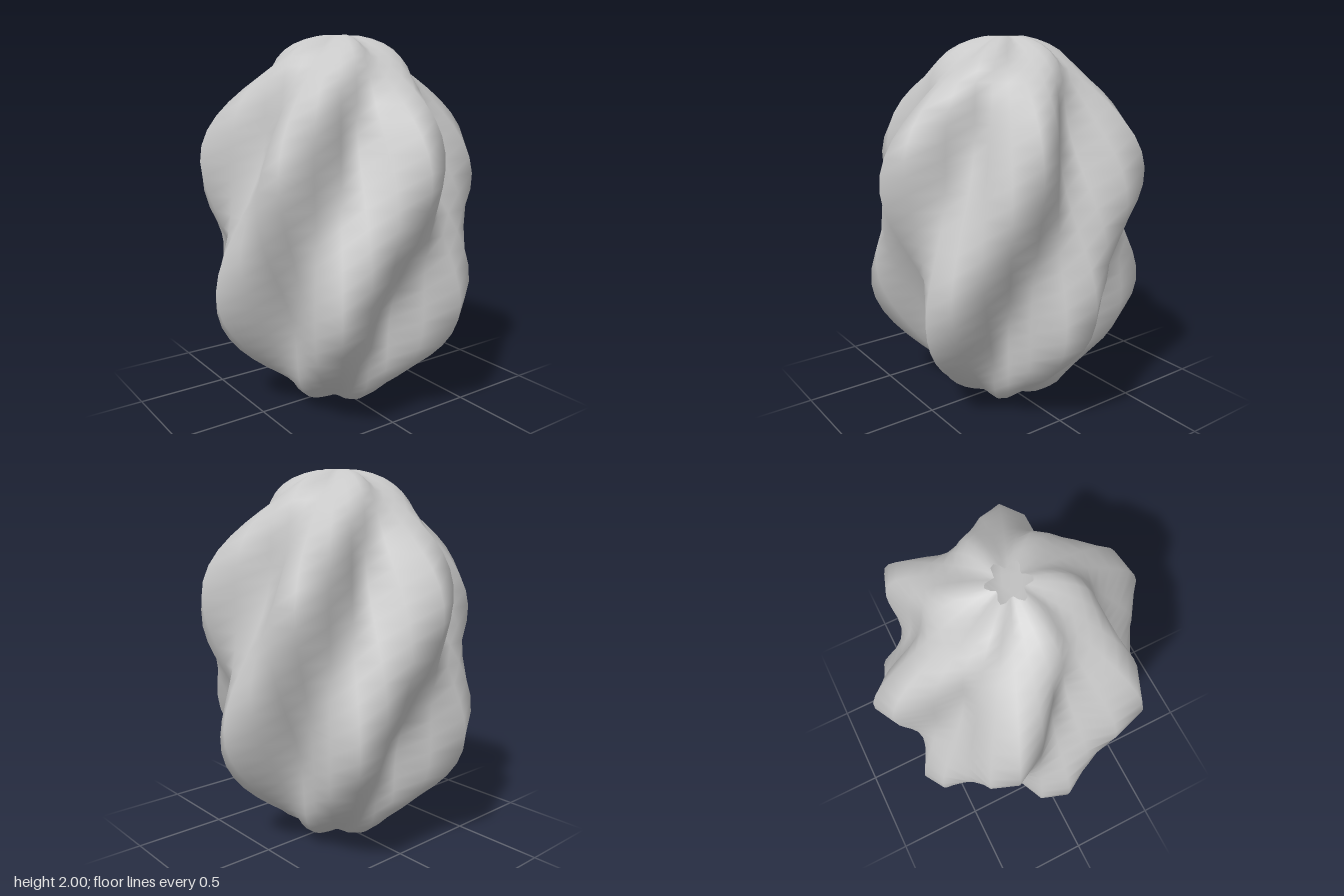
import * as THREE from 'three';

const SEGMENTS = 32;
const RINGS = 32;
const RADIUS = 0.655;
const POLE_GAP = 0.135; // angle left open at each pole

// Ellipsoid shell with six lobes, shaped by two helical waves of opposite twist
function lobedShell() {
  const positions = [];
  const indices = [];

  for (let i = 0; i <= RINGS; i++) {
    const v = i / RINGS;
    const phi = THREE.MathUtils.lerp(POLE_GAP, Math.PI - POLE_GAP, v);
    const y = 1 - Math.cos(phi) / Math.cos(POLE_GAP);
    for (let j = 0; j < SEGMENTS; j++) {
      const a = (j / SEGMENTS) * Math.PI * 2;
      const wave = 0.15 * Math.sin(6 * a + 4 * Math.PI * v) + 0.1 * Math.sin(6 * a - 2 * Math.PI * v);
      const r = RADIUS * Math.sin(phi) * (1 + wave);
      positions.push(r * Math.cos(a), y, r * Math.sin(a));
      if (i === RINGS) continue;
      const next = (j + 1) % SEGMENTS;
      const a0 = i * SEGMENTS + j;
      const b0 = i * SEGMENTS + next;
      indices.push(a0, a0 + SEGMENTS, b0, b0, a0 + SEGMENTS, b0 + SEGMENTS);
    }
  }

  const geometry = new THREE.BufferGeometry();
  geometry.setAttribute('position', new THREE.Float32BufferAttribute(positions, 3));
  geometry.setIndex(indices);
  geometry.computeVertexNormals();
  return geometry;
}

export function createModel() {
  const group = new THREE.Group();
  group.name = 'twistedLobedVessel';

  const grey = new THREE.MeshStandardMaterial({ color: 0xc8c8c8, side: THREE.DoubleSide });
  grey.name = 'light grey';

  const shell = new THREE.Mesh(lobedShell(), grey);
  shell.name = 'shell';
  group.add(shell);
  return group;
}
